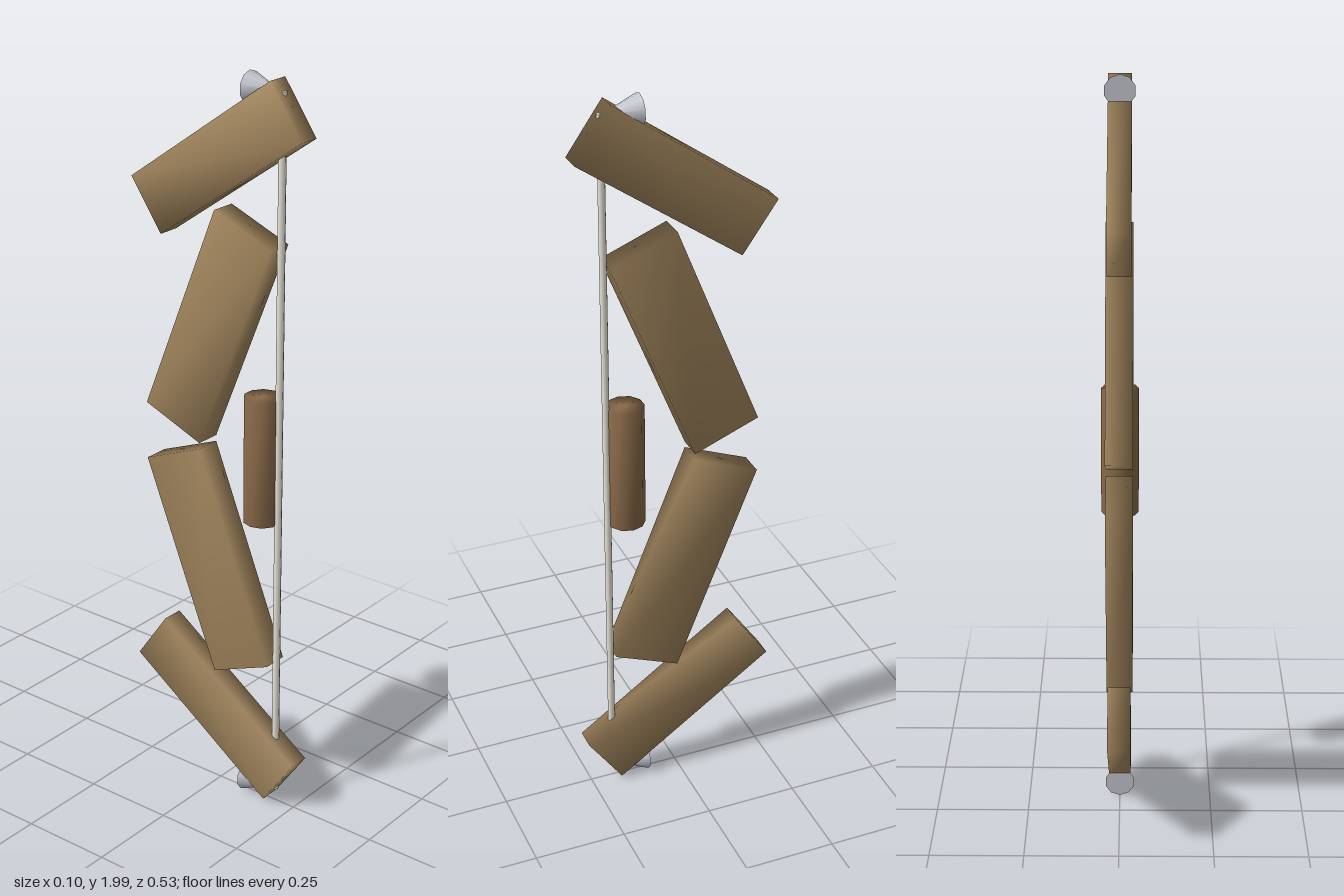
import * as THREE from 'three';
import { mergeVertices } from 'three/addons/utils/BufferGeometryUtils.js';

const paint = (color) => new THREE.MeshStandardMaterial({ color });
const wood = paint(0xa0845c);
const leather = paint(0x8b6b4a);
const cord = paint(0xe8e4d8);
const metal = paint(0xc0c4cc);

// Shares corners between faces so the shading runs softly over the edges
function soften(geometry) {
  geometry.deleteAttribute('normal');
  geometry.deleteAttribute('uv');
  const merged = mergeVertices(geometry, 1e-4);
  merged.computeVertexNormals();
  return merged;
}

function add(parent, name, geometry, material, y, z, tilt = 0) {
  const mesh = new THREE.Mesh(geometry, material);
  mesh.name = name;
  mesh.position.set(0, y, z);
  mesh.rotation.x = tilt;
  parent.add(mesh);
  return mesh;
}

export function createModel() {
  const bow = new THREE.Group();
  bow.name = 'bow';
  const middle = 1.003;

  // Limbs and string nocks, mirrored above and below the middle
  const innerLimb = soften(new THREE.BoxGeometry(0.07, 0.608, 0.19));
  const outerLimb = soften(new THREE.BoxGeometry(0.06, 0.531, 0.165));
  const nock = new THREE.ConeGeometry(0.041, 0.1, 10);
  nock.rotateX(Math.PI / 2);
  for (const [side, s] of [['upper', 1], ['lower', -1]]) {
    add(bow, side + 'InnerLimb', innerLimb, wood, middle + s * 0.326, -0.019, s * 0.381);
    add(bow, side + 'OuterLimb', outerLimb, wood, middle + s * 0.767, 0, s * 0.959);
    add(bow, side + 'Nock', nock, metal, middle + s * 0.956, 0.138);
  }

  // Grip
  const grip = soften(new THREE.CylinderGeometry(0.05, 0.05, 0.345, 10));
  grip.rotateY(Math.PI / 2);
  add(bow, 'grip', grip, leather, middle, 0.135);

  // Bowstring
  add(bow, 'string', new THREE.CylinderGeometry(0.01, 0.01, 1.92, 8), cord, middle, 0.187);

  return bow;
}
